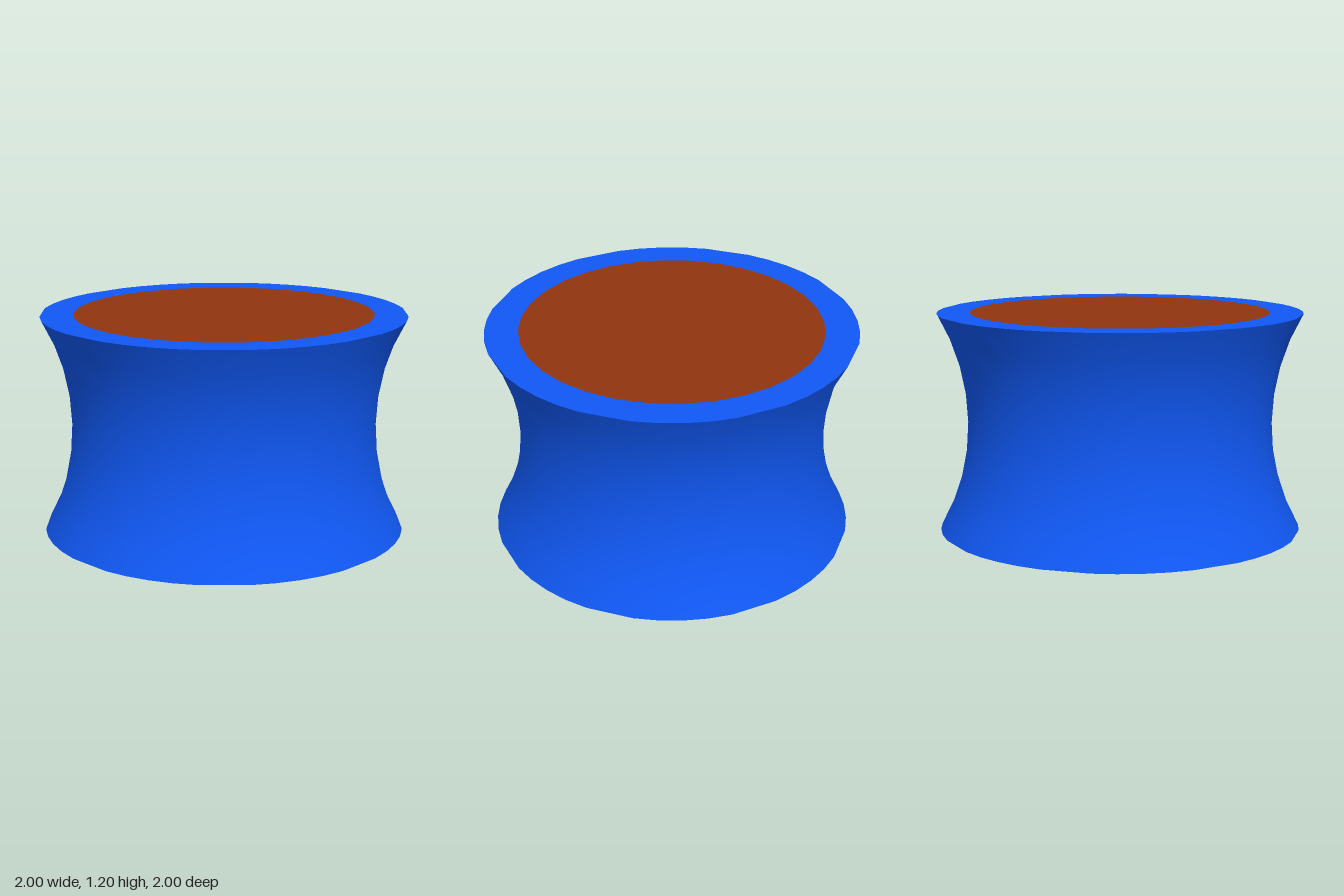
import * as THREE from 'three';

const HEIGHT = 1.2, RIM = 1, INSET = 0.82, ARC = 1.2, SIDES = 48;

// Every sixth column, from 22.5 degrees on, lies flat between its neighbours
const flatten = (i) => (i % 6 === 3 ? Math.cos(Math.PI * 2 / SIDES) : 1);

function ringPoints(radius, sides, scale = () => 1) {
  return Array.from({ length: sides }, (_, i) => {
    const a = (i / sides) * Math.PI * 2, r = radius * scale(i);
    return new THREE.Vector2(Math.sin(a) * r, Math.cos(a) * r);
  });
}

export function createModel() {
  const group = new THREE.Group();
  const blue = new THREE.MeshStandardMaterial({ color: 0x1058f5 });
  const brown = new THREE.MeshStandardMaterial({ color: 0x92340f });

  const add = (name, geometry, material) => {
    const mesh = new THREE.Mesh(geometry, material);
    mesh.name = name;
    group.add(mesh);
  };

  // Waisted wall: a 60 degree concave arc turned about the axis
  const profile = [];
  const centre = RIM + ARC * Math.cos(Math.PI / 6);
  for (let j = 0; j <= 8; j++) {
    const t = (j / 8 - 0.5) * Math.PI / 3;
    profile.push(new THREE.Vector2(centre - ARC * Math.cos(t), HEIGHT / 2 + ARC * Math.sin(t)));
  }
  const wall = new THREE.LatheGeometry(profile, SIDES);
  const pos = wall.attributes.position;
  for (let v = 0; v < pos.count; v++) {
    const s = flatten(Math.floor(v / profile.length));
    pos.setXYZ(v, pos.getX(v) * s, pos.getY(v), pos.getZ(v) * s);
  }
  add('waistedWall', wall, blue);

  // Flat base
  const outline = ringPoints(RIM, SIDES, flatten);
  add('base', new THREE.ShapeGeometry(new THREE.Shape(outline)).rotateX(Math.PI / 2), blue);

  // Top rim with the inset panel flush inside it
  const inset = ringPoints(INSET, 32);
  const rim = new THREE.Shape(outline);
  rim.holes.push(new THREE.Path(inset));
  add('topRim', new THREE.ShapeGeometry(rim).rotateX(-Math.PI / 2).translate(0, HEIGHT, 0), blue);
  add('topPanel', new THREE.ShapeGeometry(new THREE.Shape(inset)).rotateX(-Math.PI / 2).translate(0, HEIGHT, 0), brown);

  return group;
}
